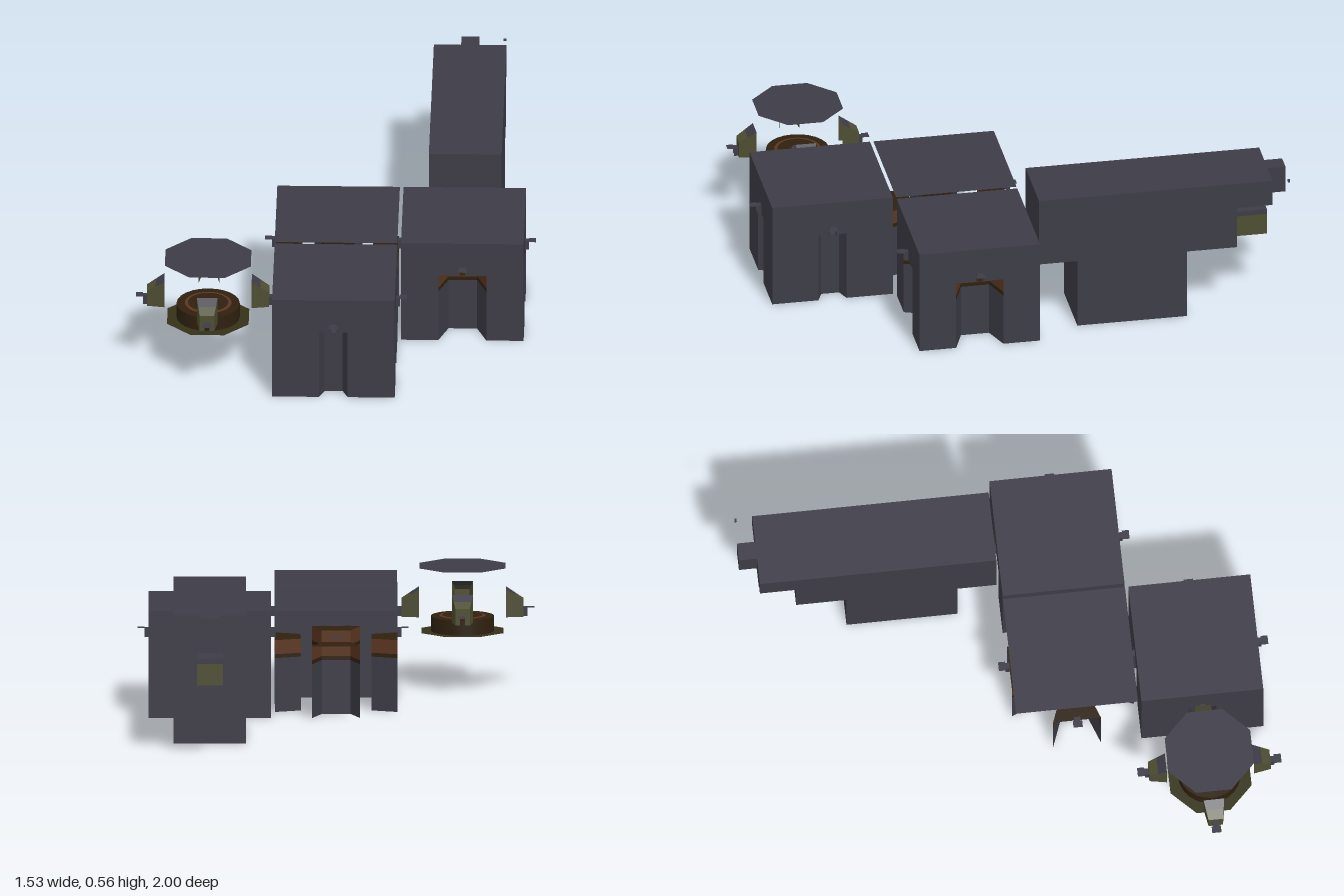
import * as THREE from 'three';

// Open shells show both faces
const flat = (name, color) => {
  const m = new THREE.MeshStandardMaterial({ color, side: THREE.DoubleSide });
  m.name = name;
  return m;
};

export function createModel() {
  const slate = flat('slate', 0x3d3c47);
  const rust = flat('rust', 0x5c3621);
  const umber = flat('umber', 0x2f200e);
  const olive = flat('olive', 0x4e4e33);
  const moss = flat('moss', 0x343218);

  const add = (parent, name, geometry, material) => {
    const mesh = new THREE.Mesh(geometry, material);
    mesh.name = name;
    parent.add(mesh);
    return mesh;
  };
  // Four corners, counter-clockwise from the outside
  const quad = (parent, name, material, a, b, c, d) => {
    const g = new THREE.BufferGeometry();
    g.setAttribute('position', new THREE.Float32BufferAttribute([...a, ...b, ...c, ...a, ...c, ...d], 3));
    g.computeVertexNormals();
    return add(parent, name, g, material);
  };
  const box = (parent, name, material, w, h, d, x, y, z) =>
    add(parent, name, new THREE.BoxGeometry(w, h, d), material).position.set(x, y, z);
  // Upward-facing flat roof strip
  const roof = (parent, name, w, y, z0, z1) =>
    quad(parent, name, slate, [-w, y, z1], [w, y, z1], [w, y, z0], [-w, y, z0]);

  const FLOOR = 0.28, DOOR = 0.315, HIGH = 0.418, R = 0.236;

  // Short door tunnel, starting at distance z from the room centre
  const doorway = (parent, z, hasEnd) => {
    const w = 0.012, e = z + 0.016;
    roof(parent, 'doorwayRoof', w, DOOR, z, e);
    for (const s of [-1, 1]) {
      const p = [[s * w, FLOOR, e], [s * w, FLOOR, z], [s * w, DOOR, z], [s * w, DOOR, e]];
      quad(parent, 'doorwaySide', slate, ...(s > 0 ? p : p.reverse()));
    }
    if (hasEnd) roof(parent, 'doorwayEndRoof', 0.018, DOOR, e, z + 0.043);
  };

  // Tapered recess below a door, banded with colour when wide
  const recess = (parent, n, wide) => {
    const nb = wide ? 0.055 : 0.035, zb = R - (wide ? 0.1 : 0.05);
    const plan = [[-n, R], [-nb, zb], [nb, zb], [n, R]];
    const bands = wide
      ? [[0, 0.21, slate], [0.21, 0.225, umber], [0.225, FLOOR, rust]]
      : [[0, FLOOR, slate]];
    for (const [y0, y1, material] of bands)
      for (let i = 0; i < 3; i++) {
        const [ax, az] = plan[i], [bx, bz] = plan[i + 1];
        quad(parent, 'recessWall', material, [ax, y0, az], [bx, y0, bz], [bx, y1, bz], [ax, y1, az]);
      }
    quad(parent, 'recessCeiling', wide ? umber : slate,
      [-n, FLOOR, R], [-nb, FLOOR, zb], [nb, FLOOR, zb], [n, FLOOR, R]);
  };

  // Outer wall with the recess and door slit cut from its lower edge
  const wall = (parent, n) => {
    const s = 0.01;
    const outline = [[-R, 0], [-n, 0], [-n, FLOOR], [-s, FLOOR], [-s, DOOR], [s, DOOR],
      [s, FLOOR], [n, FLOOR], [n, 0], [R, 0], [R, HIGH], [-R, HIGH]];
    const shape = new THREE.Shape(outline.map(([x, y]) => new THREE.Vector2(x, y)));
    add(parent, 'outerWall', new THREE.ShapeGeometry(shape), slate).position.z = R;
  };

  // Sides run front, left (+x), back, right (-x)
  const room = (parent, name, x, z, wide, walled, ends) => {
    const group = new THREE.Group();
    group.name = name;
    group.position.set(x, 0, z);
    roof(group, 'roomRoof', R, HIGH, -R, R);
    for (let i = 0; i < 4; i++) {
      const side = new THREE.Group();
      side.name = 'roomSide';
      side.rotation.y = i * Math.PI / 2;
      const n = wide ? 0.0925 : 0.055;
      if (walled) wall(side, n);
      recess(side, n, wide);
      doorway(side, R, ends[i]);
      group.add(side);
    }
    parent.add(group);
  };

  const model = new THREE.Group();
  model.name = 'roomComplex';
  room(model, 'centreRoom', 0, 0.235, true, false, [false, false, true, true]);
  room(model, 'sideRoom', 0.486, 0.235, true, true, [true, true, false, false]);
  room(model, 'frontRoom', 0, 0.72, false, true, [true, true, false, false]);

  // Long hall with a raised rear end
  const hall = new THREE.Group();
  hall.name = 'hall';
  const profile = [[0.015, 0.28], [0.165, 0.28], [0.165, 0], [0.595, 0], [0.595, 0.28], [0.79, 0.28],
    [0.79, 0.45], [0.93, 0.45], [0.93, 0.555], [0.015, 0.555]];
  const hallShape = new THREE.Shape(profile.map(([x, y]) => new THREE.Vector2(x, y)));
  const hallBody = new THREE.ExtrudeGeometry(hallShape, { depth: 0.28, bevelEnabled: false });
  hallBody.rotateY(Math.PI / 2).translate(0.347, 0, 0);
  add(hall, 'hallBody', hallBody, slate);
  box(hall, 'hallRearBlock', slate, 0.07, 0.107, 0.07, 0.487, 0.5015, -0.965);
  box(hall, 'hallRearPorch', olive, 0.1, 0.085, 0.135, 0.487, 0.3225, -0.8575);
  box(hall, 'porchRoof', slate, 0.1, 0.02, 0.135, 0.487, 0.375, -0.8575);
  box(hall, 'hallUnderside', rust, 0.14, 0.002, 0.11, 0.487, 0.2795, -0.69);
  box(hall, 'rearUnderside', rust, 0.14, 0.002, 0.08, 0.487, 0.4495, -0.86);
  box(hall, 'cornerChip', slate, 0.012, 0.008, 0.008, 0.62, 0.545, -0.995);
  model.add(hall);

  // Eight-sided pavilion
  const pavilion = new THREE.Group();
  pavilion.name = 'pavilion';
  pavilion.position.set(-0.487, 0, 0.72);
  const disc = (name, r, y, material, sides = 8) => {
    const g = new THREE.CircleGeometry(r, sides, Math.PI / 8);
    add(pavilion, name, g.rotateX(-Math.PI / 2), material).position.y = y;
  };
  disc('pavilionRoof', 0.179, 0.475, slate);
  add(pavilion, 'drum', new THREE.CylinderGeometry(0.122, 0.122, 0.062, 24), umber).position.y = 0.249;
  disc('drumTop', 0.09, 0.282, rust, 24);
  disc('drumInlay', 0.078, 0.284, umber, 24);
  disc('drumCentre', 0.025, 0.286, slate);
  disc('drumBase', 0.13, 0.217, moss);
  add(pavilion, 'floorRing', new THREE.RingGeometry(0.12, 0.17, 8, 1, Math.PI / 8).rotateX(-Math.PI / 2), moss)
    .position.y = 0.222;

  // Four sloped porches around the pavilion
  for (let i = 0; i < 4; i++) {
    const porch = new THREE.Group();
    porch.name = 'pavilionPorch';
    porch.rotation.y = i * Math.PI / 2;
    const a = 0.04, b = 0.028, zi = 0.168, zo = 0.235, top = 0.388, low = 0.345, s = 0.01;
    for (const m of [-1, 1]) {
      const side = [[m * b, FLOOR, zo], [m * a, FLOOR, zi], [m * a, top, zi], [m * b, low, zo]];
      quad(porch, 'porchSide', olive, ...(m > 0 ? side : side.reverse()));
      const post = [[m * s, FLOOR, zo], [m * b, FLOOR, zo], [m * b, low, zo], [m * s, low, zo]];
      quad(porch, 'porchPost', olive, ...(m > 0 ? post : post.reverse()));
    }
    quad(porch, 'porchLintel', olive, [-s, DOOR, zo], [s, DOOR, zo], [s, low, zo], [-s, low, zo]);
    // Slope: olive lower half, slate upper half
    const zm = (zi + zo) / 2, ym = (top + low) / 2, c = (a + b) / 2;
    quad(porch, 'porchSlope', olive, [-b, low, zo], [b, low, zo], [c, ym, zm], [-c, ym, zm]);
    quad(porch, 'porchSlopeTop', slate, [-c, ym, zm], [c, ym, zm], [a, top, zi], [-a, top, zi]);
    doorway(porch, zo, i !== 1);
    pavilion.add(porch);
  }
  model.add(pavilion);
  return model;
}
